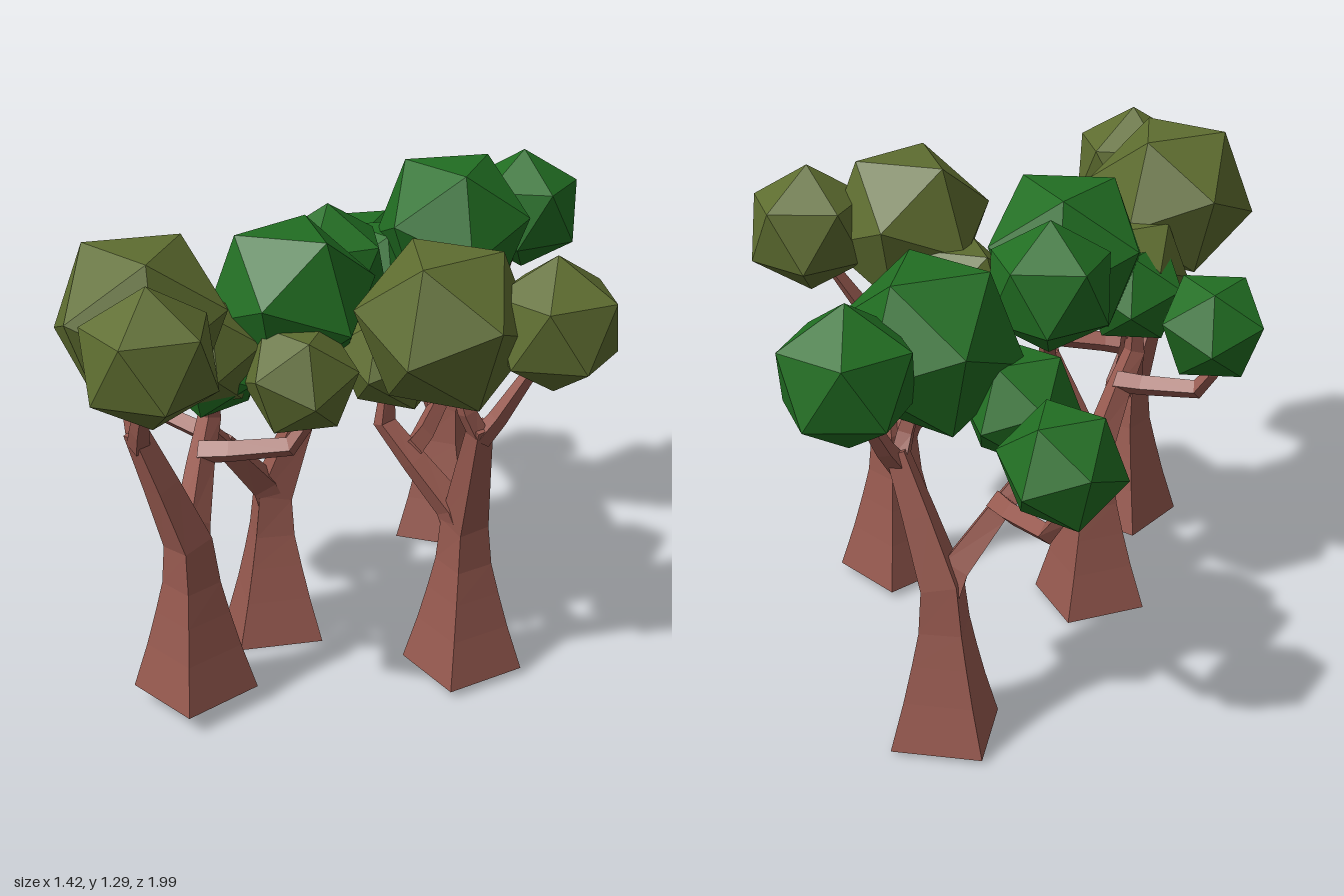
import * as THREE from 'three';

const bark = new THREE.MeshStandardMaterial({ color: 0x96594f, flatShading: true });
const olive = new THREE.MeshStandardMaterial({ color: 0x5e6d30, flatShading: true });
const green = new THREE.MeshStandardMaterial({ color: 0x216e22, flatShading: true });

const CORNER = THREE.MathUtils.degToRad(116);

// Four-sided limb through stations [x, y, z, radius], closed at both ends
function limb(name, stations) {
  const centres = stations.map(([x, y, z]) => new THREE.Vector3(x, y, z));
  const last = centres.length - 1;
  const position = [], index = [];
  centres.forEach((c, i) => {
    const t = centres[Math.min(i + 1, last)].clone().sub(centres[Math.max(i - 1, 0)]).normalize();
    const u = new THREE.Vector3(Math.cos(CORNER), 0, Math.sin(CORNER));
    u.addScaledVector(t, -u.dot(t)).normalize();
    const v = t.clone().cross(u);
    for (let k = 0; k < 4; k++) {
      const a = k * Math.PI / 2;
      const p = c.clone()
        .addScaledVector(u, stations[i][3] * Math.cos(a))
        .addScaledVector(v, stations[i][3] * Math.sin(a));
      position.push(p.x, p.y, p.z);
    }
  });
  for (let i = 0; i < last; i++) {
    for (let k = 0; k < 4; k++) {
      const a = i * 4 + k, b = i * 4 + (k + 1) % 4;
      index.push(a, b, b + 4, a, b + 4, a + 4);
    }
  }
  const e = last * 4;
  index.push(0, 2, 1, 0, 3, 2, e, e + 1, e + 2, e, e + 2, e + 3);
  const indexed = new THREE.BufferGeometry();
  indexed.setAttribute('position', new THREE.Float32BufferAttribute(position, 3));
  indexed.setIndex(index);
  const geometry = indexed.toNonIndexed();
  geometry.computeVertexNormals();
  const mesh = new THREE.Mesh(geometry, bark);
  mesh.name = name;
  return mesh;
}

// Rotations that set a clump with a face or a corner on top
const FACE_UP = [-0.365, 0.89, 0];
const CORNER_UP = [0, 0.2, 0.553];

// Faceted clump of leaves
function clump(name, centre, radius, rotation, material) {
  const mesh = new THREE.Mesh(new THREE.IcosahedronGeometry(radius, 0), material);
  mesh.position.set(...centre);
  mesh.rotation.set(...rotation, 'YXZ');
  mesh.name = name;
  return mesh;
}

function createTree(leaves) {
  const tree = new THREE.Group();
  tree.add(
    // flared trunk leaning into the main bough
    limb('trunk', [
      [0, 0, 0, 0.168], [0, 0.13, 0, 0.127], [0, 0.23, 0, 0.1], [0, 0.32, 0, 0.078],
      [0.005, 0.44, 0, 0.066], [0.07, 0.62, 0, 0.049], [0.13, 0.78, 0, 0.034]]),
    // upper fork
    limb('twigToLargeClump', [[0.125, 0.75, 0, 0.03], [0.125, 0.82, 0.035, 0.026], [0.1, 0.95, 0.07, 0.018]]),
    limb('twigToMediumClump', [[0.125, 0.74, 0, 0.03], [0.135, 0.8, -0.045, 0.026], [0.145, 0.93, -0.13, 0.018]]),
    // side bough rising to the lower clumps
    limb('sideBough', [
      [0, 0.4, 0, 0.055], [-0.02, 0.48, 0.03, 0.048], [-0.08, 0.6, 0.12, 0.038],
      [-0.135, 0.7, 0.19, 0.032], [-0.135, 0.82, 0.18, 0.018]]),
    limb('sideTwig', [
      [-0.085, 0.63, 0.13, 0.034], [-0.15, 0.64, 0.08, 0.031], [-0.29, 0.66, 0, 0.028],
      [-0.325, 0.71, -0.01, 0.022], [-0.325, 0.82, 0, 0.014]]),
    clump('largeClump', [0.078, 1.05, 0.083], 0.24, FACE_UP, leaves),
    clump('mediumClump', [0.145, 1.05, -0.19], 0.185, CORNER_UP, leaves),
    clump('smallOuterClump', [-0.325, 0.85, 0.003], 0.162, FACE_UP, leaves),
    clump('smallInnerClump', [-0.124, 0.9, 0.168], 0.16, FACE_UP, leaves),
  );
  return tree;
}

export function createModel() {
  const model = new THREE.Group();
  model.name = 'treeGrove';
  // position, turn in degrees, leaf material
  const layout = [
    ['frontTree', [-0.15, 0.05, 0.615], 117, olive],
    ['leftTree', [0.315, 0.02, 0.025], 38, olive],
    ['middleTree', [-0.255, 0, 0.17], -32, green],
    ['backTree', [-0.24, 0.01, -0.642], 0, green],
  ];
  for (const [name, position, turn, leaves] of layout) {
    const tree = createTree(leaves);
    tree.name = name;
    tree.position.set(...position);
    tree.rotation.y = -THREE.MathUtils.degToRad(turn);
    model.add(tree);
  }
  return model;
}
